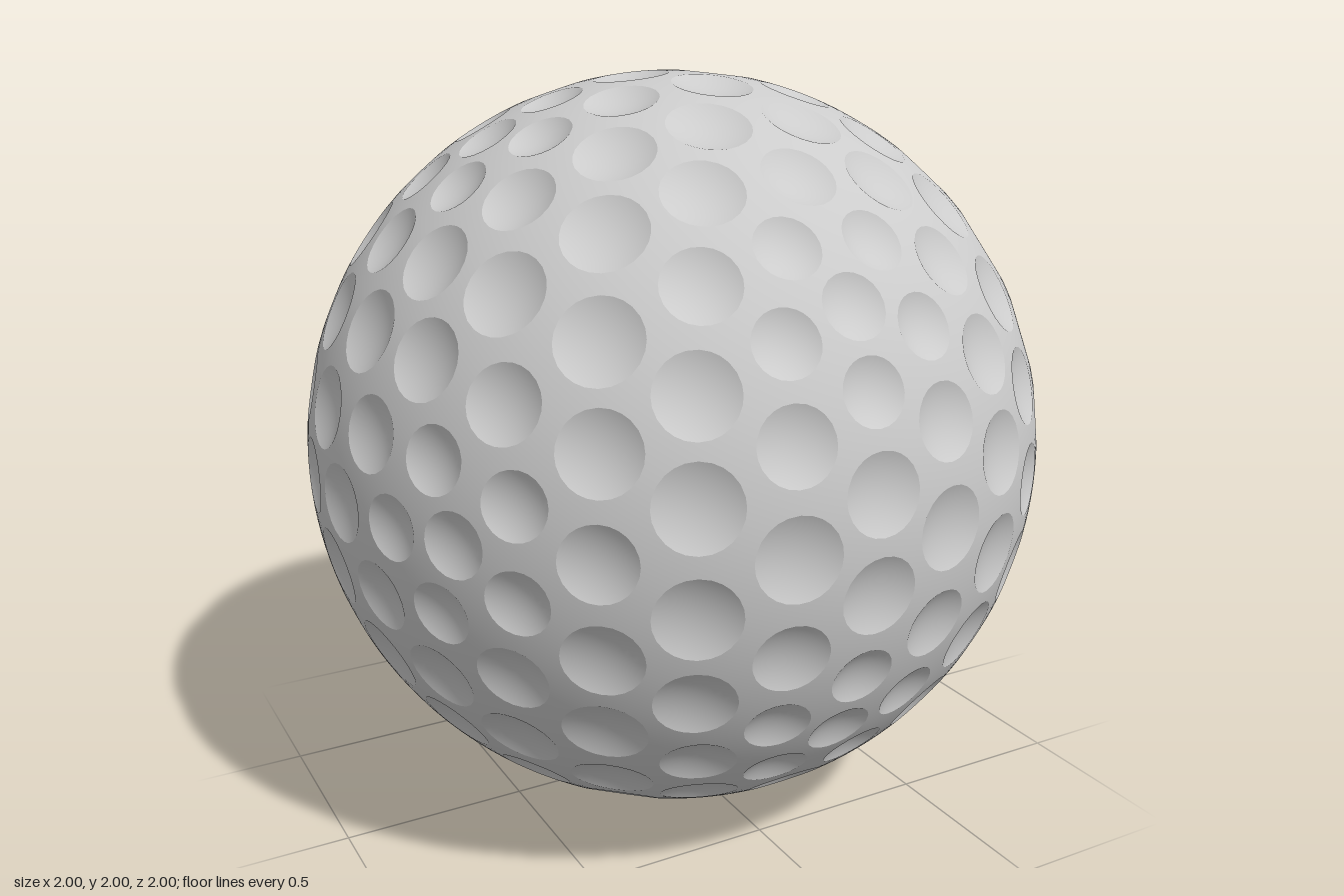
import * as THREE from 'three';

const DEPTH = 0.021; // dimple depth below its rim plane
const STEPS = 2; // samples along each half of a sector's outer border
const LAND_RINGS = 2;
const DIMPLE_RINGS = 6;

// The 12 icosahedron corners, folded into one octant
const CORNERS = [[1, 1.618, 0], [0, 1, 1.618], [1.618, 0, 1]]
  .map((c) => new THREE.Vector3(...c).normalize());

// Dimples are smallest around the 12 corners and grow away from them
function dimpleRadius(c) {
  const a = new THREE.Vector3(Math.abs(c.x), Math.abs(c.y), Math.abs(c.z));
  const angle = Math.min(...CORNERS.map((k) => k.angleTo(a)));
  return THREE.MathUtils.clamp(0.083 + (angle - 0.2) * 0.075, 0.083, 0.105);
}

// Collects grids of { p, n } points into one indexed geometry
class Surface {
  constructor() {
    this.pos = [];
    this.nor = [];
    this.idx = [];
  }

  addGrid(rows) {
    const base = this.pos.length / 3;
    const w = rows[0].length;
    for (const { p, n } of rows.flat()) {
      this.pos.push(p.x, p.y, p.z);
      this.nor.push(n.x, n.y, n.z);
    }
    for (let r = 0; r < rows.length - 1; r++) {
      for (let k = 0; k < w - 1; k++) {
        const a = base + r * w + k;
        this.idx.push(a, a + w, a + w + 1);
        // the first ring of a dimple collapses to its centre
        if (rows[r][0].p.distanceTo(rows[r][w - 1].p) > 1e-6) this.idx.push(a, a + w + 1, a + 1);
      }
    }
  }

  mesh(name, material) {
    const g = new THREE.BufferGeometry();
    g.setAttribute('position', new THREE.Float32BufferAttribute(this.pos, 3));
    g.setAttribute('normal', new THREE.Float32BufferAttribute(this.nor, 3));
    g.setIndex(this.idx);
    const m = new THREE.Mesh(g, material);
    m.name = name;
    return m;
  }
}

// One corner of a lattice triangle: a slice of dimple and the land around it
function addSector(c, border, land, dimples) {
  const r = dimpleRadius(c);
  const rays = border.map((o) => ({
    t: o.clone().addScaledVector(c, -o.dot(c)).normalize(),
    reach: c.angleTo(o),
  }));
  const along = (t, cos, sin) => c.clone().multiplyScalar(cos).addScaledVector(t, sin);

  // land follows the ball from the rim to the sector border
  const landRows = [];
  for (let i = 0; i <= LAND_RINGS; i++) {
    landRows.push(rays.map(({ t, reach }) => {
      const a = THREE.MathUtils.lerp(r, reach, i / LAND_RINGS);
      const p = along(t, Math.cos(a), Math.sin(a));
      return { p, n: p };
    }));
  }
  land.addGrid(landRows);

  // dimple is a concave spherical cap
  const half = Math.sin(r);
  const R = (half * half + DEPTH * DEPTH) / (2 * DEPTH);
  const h = Math.cos(r) - DEPTH + R;
  const maxPhi = Math.asin(half / R);
  const bowlRows = [];
  for (let i = 0; i <= DIMPLE_RINGS; i++) {
    const phi = (maxPhi * i) / DIMPLE_RINGS;
    bowlRows.push(rays.map(({ t }) => ({
      p: along(t, h - R * Math.cos(phi), R * Math.sin(phi)),
      n: along(t, Math.cos(phi), -Math.sin(phi)),
    })));
  }
  dimples.addGrid(bowlRows);
}

export function createModel() {
  const group = new THREE.Group();
  group.name = 'dimpledBall';
  const material = new THREE.MeshStandardMaterial({ color: 0xcccccc });
  const land = new Surface();
  const dimples = new Surface();

  // geodesic lattice: one dimple at each of its 252 points
  const lattice = new THREE.IcosahedronGeometry(1, 4).getAttribute('position');
  for (let f = 0; f < lattice.count; f += 3) {
    const tri = [0, 1, 2].map((i) => new THREE.Vector3().fromBufferAttribute(lattice, f + i).normalize());
    const centre = tri[0].clone().add(tri[1]).add(tri[2]).normalize();
    const mids = tri.map((v, i) => v.clone().add(tri[(i + 1) % 3]).normalize());
    for (let i = 0; i < 3; i++) {
      const from = mids[i];
      const to = mids[(i + 2) % 3];
      const border = [];
      for (let s = 0; s < STEPS; s++) border.push(from.clone().lerp(centre, s / STEPS).normalize());
      for (let s = STEPS; s >= 0; s--) border.push(to.clone().lerp(centre, s / STEPS).normalize());
      addSector(tri[i], border, land, dimples);
    }
  }

  group.add(land.mesh('ballSurface', material), dimples.mesh('dimples', material));
  group.children.forEach((m) => { m.position.y = 1; });
  return group;
}
